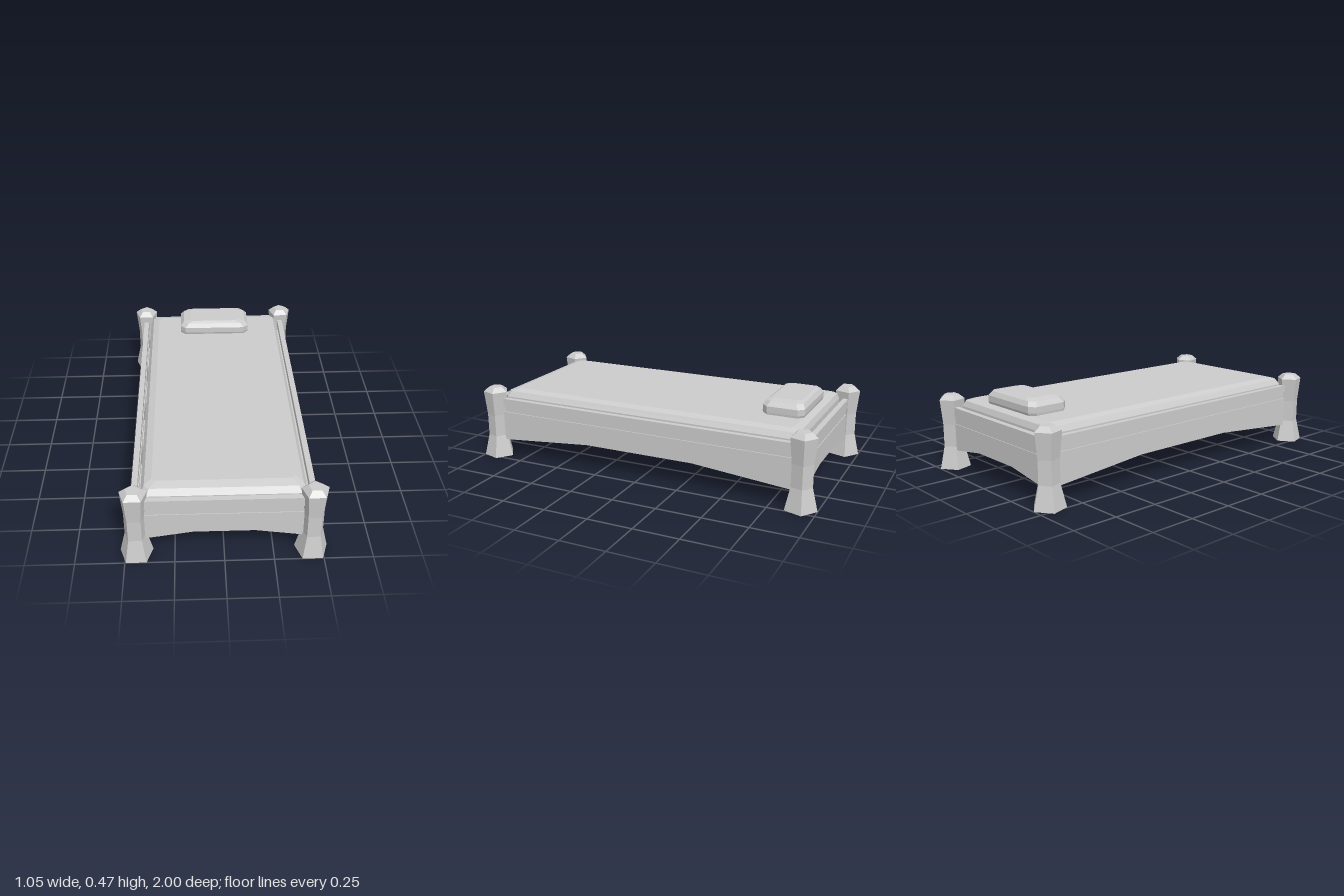
import * as THREE from 'three';

const material = new THREE.MeshStandardMaterial({ color: 0xcccccc, flatShading: true });

function add(parent, name, geometry, x = 0, y = 0, z = 0) {
  const mesh = new THREE.Mesh(geometry, material);
  mesh.name = name;
  mesh.position.set(x, y, z);
  parent.add(mesh);
  return mesh;
}

// Cushion lofted from stacked rectangles with cut corners:
// each ring is [y, half width, back z, front z, corner cut]
function cushion(rings) {
  const points = [];
  for (const [y, w, b, f, c] of rings) {
    points.push(
      [w - c, y, f], [w, y, f - c], [w, y, b + c], [w - c, y, b],
      [c - w, y, b], [-w, y, b + c], [-w, y, f - c], [c - w, y, f]);
  }
  const index = [];
  for (let r = 0; r < rings.length - 1; r++) {
    for (let i = 0; i < 8; i++) {
      const a = r * 8 + i, b = r * 8 + (i + 1) % 8;
      index.push(a, b, b + 8, a, b + 8, a + 8);
    }
  }
  const top = (rings.length - 1) * 8;
  for (let i = 1; i < 7; i++) {
    index.push(top, top + i, top + i + 1);
    index.push(0, i + 1, i);
  }
  const geometry = new THREE.BufferGeometry();
  geometry.setAttribute('position', new THREE.Float32BufferAttribute(points.flat(), 3));
  geometry.setIndex(index);
  const flat = geometry.toNonIndexed();
  flat.computeVertexNormals();
  return flat;
}

// Five-sided post with one flat side to the front
function postGeometry() {
  const profile = [[0, 0], [0.088, 0], [0.058, 0.125], [0.058, 0.25], [0.072, 0.387], [0.04, 0.413], [0, 0.413]];
  const geometry = new THREE.LatheGeometry(
    profile.map(([r, y]) => new THREE.Vector2(r, y)), 5, Math.PI).toNonIndexed();
  geometry.computeVertexNormals();
  return geometry;
}

// Board with an arched lower edge, centred on its thickness
function archedBoard(half, flat, endY, midY, topY, thickness) {
  const shape = new THREE.Shape([
    [-half, endY], [-flat, midY], [flat, midY], [half, endY], [half, topY], [-half, topY],
  ].map(([x, y]) => new THREE.Vector2(x, y)));
  return new THREE.ExtrudeGeometry(shape, { depth: thickness, bevelEnabled: false })
    .translate(0, 0, -thickness / 2);
}

export function createModel() {
  const bed = new THREE.Group();
  bed.name = 'bed';

  // Corner posts
  const post = postGeometry();
  for (const x of [-0.443, 0.443]) {
    for (const z of [-0.912, 0.929]) add(bed, z > 0 ? 'frontPost' : 'backPost', post, x, 0, z);
  }

  // Long sides: arched board, recessed strip facing outwards, rail
  const sideBoard = archedBoard(0.91, 0.32, 0.095, 0.148, 0.268, 0.026);
  const sideStrip = new THREE.PlaneGeometry(1.82, 0.045);
  const sideRail = new THREE.BoxGeometry(0.03, 0.038, 1.82);
  for (const [name, s] of [['left', 1], ['right', -1]]) {
    add(bed, name + 'Board', sideBoard, s * 0.44, 0, 0.005).rotation.y = Math.PI / 2;
    add(bed, name + 'Strip', sideStrip, s * 0.447, 0.289, 0.005).rotation.y = s * Math.PI / 2;
    add(bed, name + 'Rail', sideRail, s * 0.442, 0.329, 0.005);
  }

  // Short ends: arched board, recessed strip, rail
  const endBoard = archedBoard(0.44, 0.155, 0.095, 0.139, 0.254, 0.022);
  const endStrip = new THREE.BoxGeometry(0.88, 0.048, 0.014);
  const endRail = new THREE.BoxGeometry(0.88, 0.05, 0.03);
  for (const [name, z, s] of [['front', 0.922, 1], ['back', -0.914, -1]]) {
    add(bed, name + 'Board', endBoard, 0, 0, z);
    add(bed, name + 'Strip', endStrip, 0, 0.276, z);
    add(bed, name + 'Rail', endRail, 0, 0.323, z + s * 0.002);
  }

  // Slats under the mattress
  const slat = new THREE.BoxGeometry(0.87, 0.035, 0.23);
  for (let i = 0; i < 4; i++) add(bed, 'slat', slat, 0, 0.229, -0.58 + i * 0.407);

  // Mattress
  add(bed, 'mattress', cushion([
    [0.3, 0.41, -0.88, 0.905, 0.03],
    [0.35, 0.41, -0.88, 0.905, 0.03],
    [0.38, 0.392, -0.868, 0.882, 0.025],
    [0.393, 0.355, -0.83, 0.837, 0.02],
  ]));

  // Pillow
  add(bed, 'pillow', cushion([
    [0.391, 0.211, -0.11, 0.11, 0.03],
    [0.405, 0.213, -0.115, 0.115, 0.03],
    [0.438, 0.213, -0.115, 0.115, 0.03],
    [0.462, 0.193, -0.1, 0.1, 0.03],
    [0.472, 0.147, -0.083, 0.083, 0.02],
  ]), 0, 0, -0.722);

  return bed;
}
